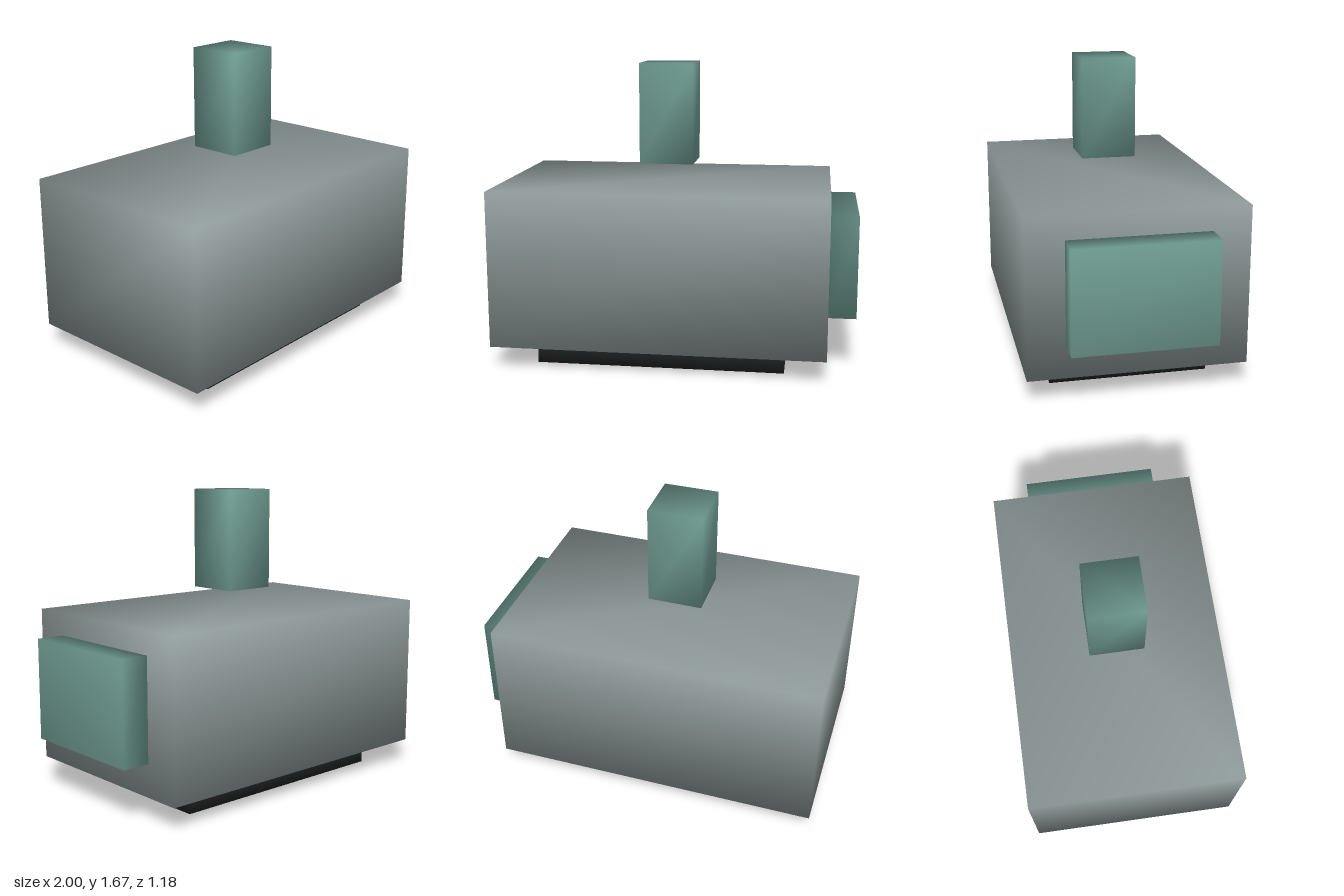
import * as THREE from 'three';
import { mergeVertices } from 'three/addons/utils/BufferGeometryUtils.js';

// Box between two corners, with normals smoothed across its shared corners
function softBox(name, material, min, max) {
  const size = max.map((v, i) => v - min[i]);
  let geometry = new THREE.BoxGeometry(...size);
  geometry.deleteAttribute('normal');
  geometry.deleteAttribute('uv');
  geometry = mergeVertices(geometry);
  geometry.computeVertexNormals();
  const mesh = new THREE.Mesh(geometry, material);
  mesh.name = name;
  mesh.position.set(...max.map((v, i) => (v + min[i]) / 2));
  return mesh;
}

export function createModel() {
  const group = new THREE.Group();
  group.name = 'blockModel';

  const grey = new THREE.MeshStandardMaterial({ color: 0x8f9a9a });
  const teal = new THREE.MeshStandardMaterial({ color: 0x6f9c92 });
  const dark = new THREE.MeshStandardMaterial({ color: 0x222626 });

  group.add(
    // Low plinth under the body
    softBox('base', dark, [-0.77, 0, -0.435], [0.615, 0.13, 0.44]),
    // Main block
    softBox('body', grey, [-1, 0.13, -0.59], [0.845, 1, 0.59]),
    // Raised panel on the left side
    softBox('sidePanel', teal, [0.845, 0.31, -0.385], [1, 0.873, 0.385]),
    // Post floating above the middle of the body
    softBox('floatingPost', teal, [-0.23, 1.105, -0.155], [0.075, 1.67, 0.15])
  );
  return group;
}
